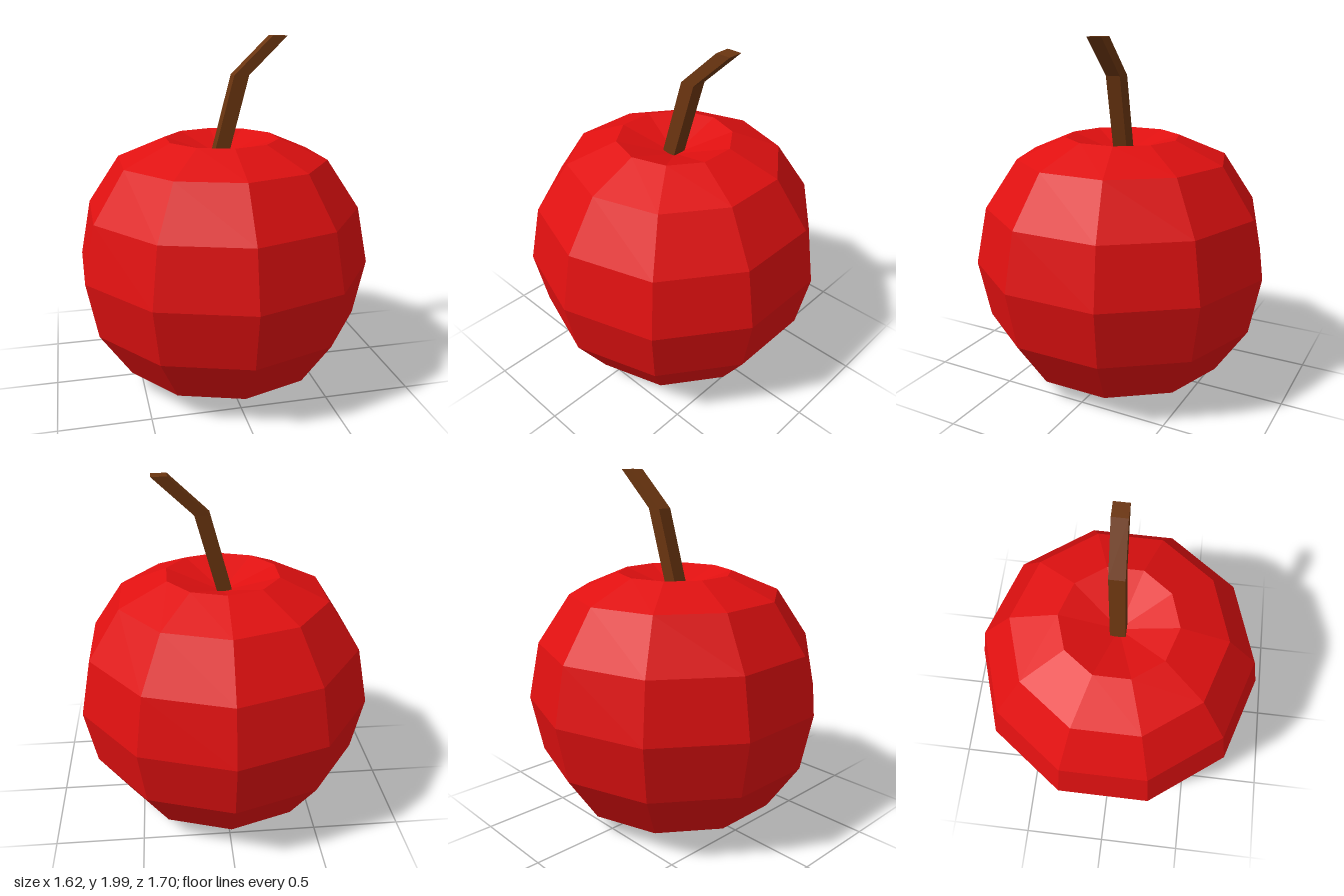
import * as THREE from 'three';

const RADIUS = 0.85, CENTRE_Y = 0.725, SIDES = 10, BANDS = 8;

// Ten-sided body: sphere bands with flattened ends and a dimple at each pole
function createBody() {
  const profile = [];
  for (let i = 0; i <= BANDS; i++) {
    const a = -Math.PI / 2 + (i / BANDS) * Math.PI;
    const r = i === 0 || i === BANDS ? 0 : RADIUS * Math.cos(a);
    let y = RADIUS * Math.sin(a);
    if (i === 0 || i === BANDS) y = Math.sign(y) * 0.61; // dimple floor
    else if (i === 1 || i === BANDS - 1) y = Math.sign(y) * 0.718; // rim
    profile.push(new THREE.Vector2(r, CENTRE_Y + y));
  }
  const body = new THREE.Mesh(
    new THREE.LatheGeometry(profile, SIDES),
    new THREE.MeshStandardMaterial({ color: 0xe01010, flatShading: true })
  );
  body.name = 'fruitBody';
  return body;
}

// Square stem: a two-segment box whose level rings follow a bent path
function createStem() {
  const path = [
    new THREE.Vector3(-0.01, 1.35, 0),
    new THREE.Vector3(0.11, 1.79, -0.018),
    new THREE.Vector3(0.33, 2.0, -0.03),
  ];
  const geometry = new THREE.BoxGeometry(0.085, 2, 0.085, 1, 2, 1);
  const pos = geometry.attributes.position;
  for (let i = 0; i < pos.count; i++) {
    const p = path[Math.round(pos.getY(i)) + 1];
    pos.setXYZ(i, pos.getX(i) + p.x, p.y, pos.getZ(i) + p.z);
  }
  geometry.computeVertexNormals();
  const stem = new THREE.Mesh(
    geometry,
    new THREE.MeshStandardMaterial({ color: 0x6b3510, flatShading: true })
  );
  stem.name = 'stem';
  return stem;
}

export function createModel() {
  const model = new THREE.Group();
  model.name = 'apple';
  model.add(createBody(), createStem());
  return model;
}
